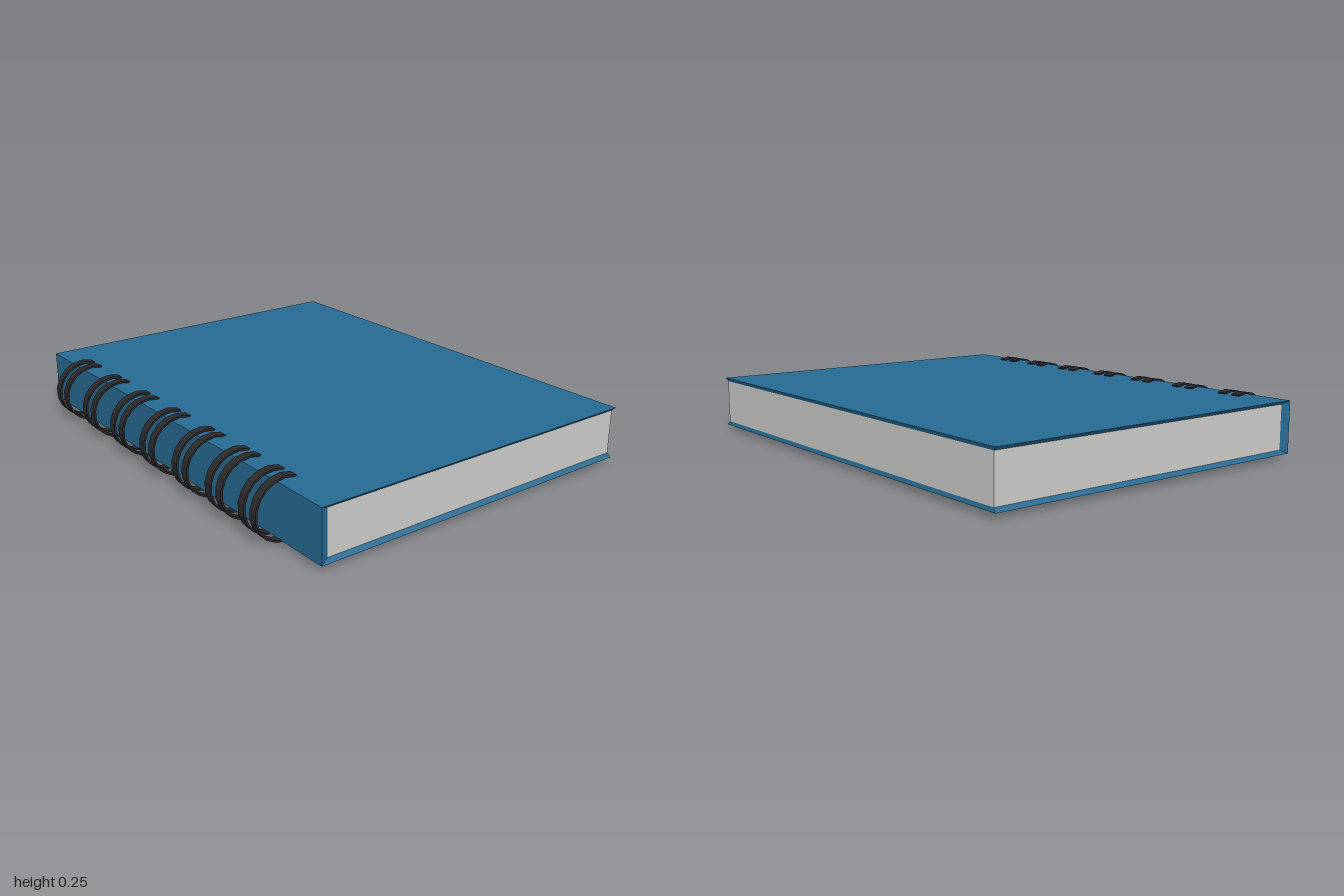
import * as THREE from 'three';

const coverBlue = new THREE.MeshStandardMaterial({ name: 'coverBlue', color: 0x266a92 });
const paperGrey = new THREE.MeshStandardMaterial({ name: 'paperGrey', color: 0xcbcbc9 });
const wireBlack = new THREE.MeshStandardMaterial({ name: 'wireBlack', color: 0x2b2929 });

// Cross-section corners, counter-clockwise from the upper fore edge
const corners = (x0, x1, y0, y1, z) =>
  [[x1, y1, z], [x0, y1, z], [x0, y0, z], [x1, y0, z]];

// Wrap-around cover whose lips taper in towards the pages
function coverGeometry() {
  const outF = corners(-0.7, 0.79, 0.022, 0.238, 1);
  const outB = corners(-0.7, 0.79, 0.022, 0.238, -1);
  const inF = corners(-0.665, 0.785, 0.038, 0.224, 0.985);
  const inB = corners(-0.665, 0.785, 0.038, 0.224, -0.985);
  const pos = [];
  const quad = (a, b, c, d) => pos.push(...a, ...b, ...c, ...a, ...c, ...d);
  for (let i = 0; i < 3; i++) {
    const j = i + 1;
    quad(outF[i], outB[i], outB[j], outF[j]); // board or spine
    quad(outF[i], outF[j], inF[j], inF[i]); // front lip
    quad(outB[j], outB[i], inB[i], inB[j]); // back lip
  }
  quad(outF[0], inF[0], inB[0], outB[0]); // fore edge lips
  quad(outF[3], outB[3], inB[3], inF[3]);
  const geo = new THREE.BufferGeometry();
  geo.setAttribute('position', new THREE.Float32BufferAttribute(pos, 3));
  geo.computeVertexNormals();
  return geo;
}

// Flat open ring: a thin faceted arc with a rectangular section
function ringGeometry(width) {
  const steps = 11, thick = 0.008;
  const arc = (inset) => Array.from({ length: steps + 1 }, (_, i) => {
    const a = THREE.MathUtils.degToRad(69 + (222 * i) / steps);
    return new THREE.Vector2(
      -0.665 + (0.13 - inset) * Math.cos(a),
      0.126 + (0.126 - inset) * Math.sin(a));
  });
  const shape = new THREE.Shape([...arc(0), ...arc(thick).reverse()]);
  return new THREE.ExtrudeGeometry(shape, { depth: width, bevelEnabled: false })
    .translate(0, 0, -width / 2);
}

export function createModel() {
  const model = new THREE.Group();
  model.name = 'notebook';

  const cover = new THREE.Mesh(coverGeometry(), coverBlue);
  cover.name = 'cover';
  model.add(cover);

  const pages = new THREE.Mesh(new THREE.BoxGeometry(1.45, 0.186, 1.97), paperGrey);
  pages.name = 'pages';
  pages.position.set(0.06, 0.131, 0);
  model.add(pages);

  // Seven pairs of binding rings along the spine
  const ringGeo = ringGeometry(0.036);
  [-0.752, -0.495, -0.245, 0, 0.25, 0.484, 0.699].forEach((z) => {
    const pair = new THREE.Group();
    pair.name = 'ringPair';
    pair.position.z = z;
    for (const side of [-1, 1]) {
      const ring = new THREE.Mesh(ringGeo, wireBlack);
      ring.name = 'bindingRing';
      ring.position.z = side * 0.036;
      pair.add(ring);
    }
    model.add(pair);
  });
  return model;
}
